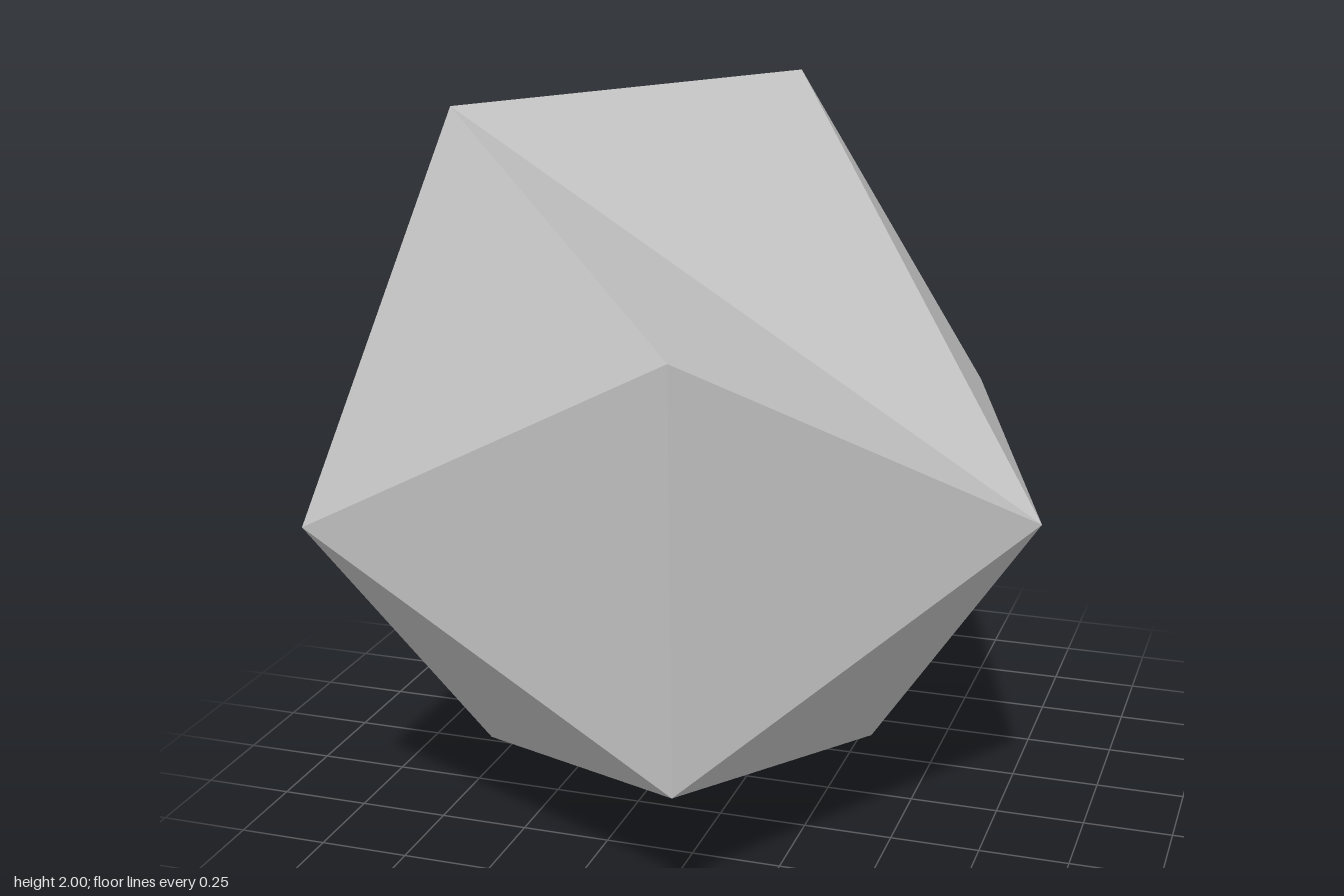
import * as THREE from 'three';

// Corner points of the rock, from the top ridge down to the base edge
const corners = {
  A: [-0.714, 2, 0.337], B: [-0.022, 2, -0.613],
  C: [0.11, 1.53, 0.972],
  D: [0.9, 1, 0.337], E: [0.473, 1, -0.972], F: [-0.904, 1, -0.972], G: [-0.904, 1, 0.922],
  H: [0.093, 0.385, 0.927],
  I: [-0.83, 0, -0.023], J: [0.283, 0, -0.385],
};

// Triangular facets, named by their corners
const facets = [
  'ABD', 'ACD', 'ACG', 'ABF', 'AFG', 'BDE', 'BEF', // upper
  'CGH', 'CDH', 'DHJ', 'DEJ', 'EFJ', 'FIJ', 'FGI', 'GHI', // sides
  'HIJ', // underside
];

function facetedGeometry() {
  const centre = new THREE.Vector3(0, 1, 0);
  const points = [];
  for (const facet of facets) {
    const [a, b, c] = [...facet].map((k) => new THREE.Vector3(...corners[k]));
    // Turn every facet outward from the middle of the rock
    const normal = new THREE.Triangle(a, b, c).getNormal(new THREE.Vector3());
    const outward = normal.dot(a.clone().sub(centre)) > 0;
    points.push(...(outward ? [a, b, c] : [a, c, b]));
  }
  const geometry = new THREE.BufferGeometry().setFromPoints(points);
  geometry.computeVertexNormals();
  return geometry;
}

export function createModel() {
  const group = new THREE.Group();
  group.name = 'facetedRock';

  const stone = new THREE.MeshStandardMaterial({ color: 0xc0c0c0 });
  stone.name = 'stone grey';
  stone.flatShading = true;

  const rock = new THREE.Mesh(facetedGeometry(), stone);
  rock.name = 'rock';
  group.add(rock);
  return group;
}
